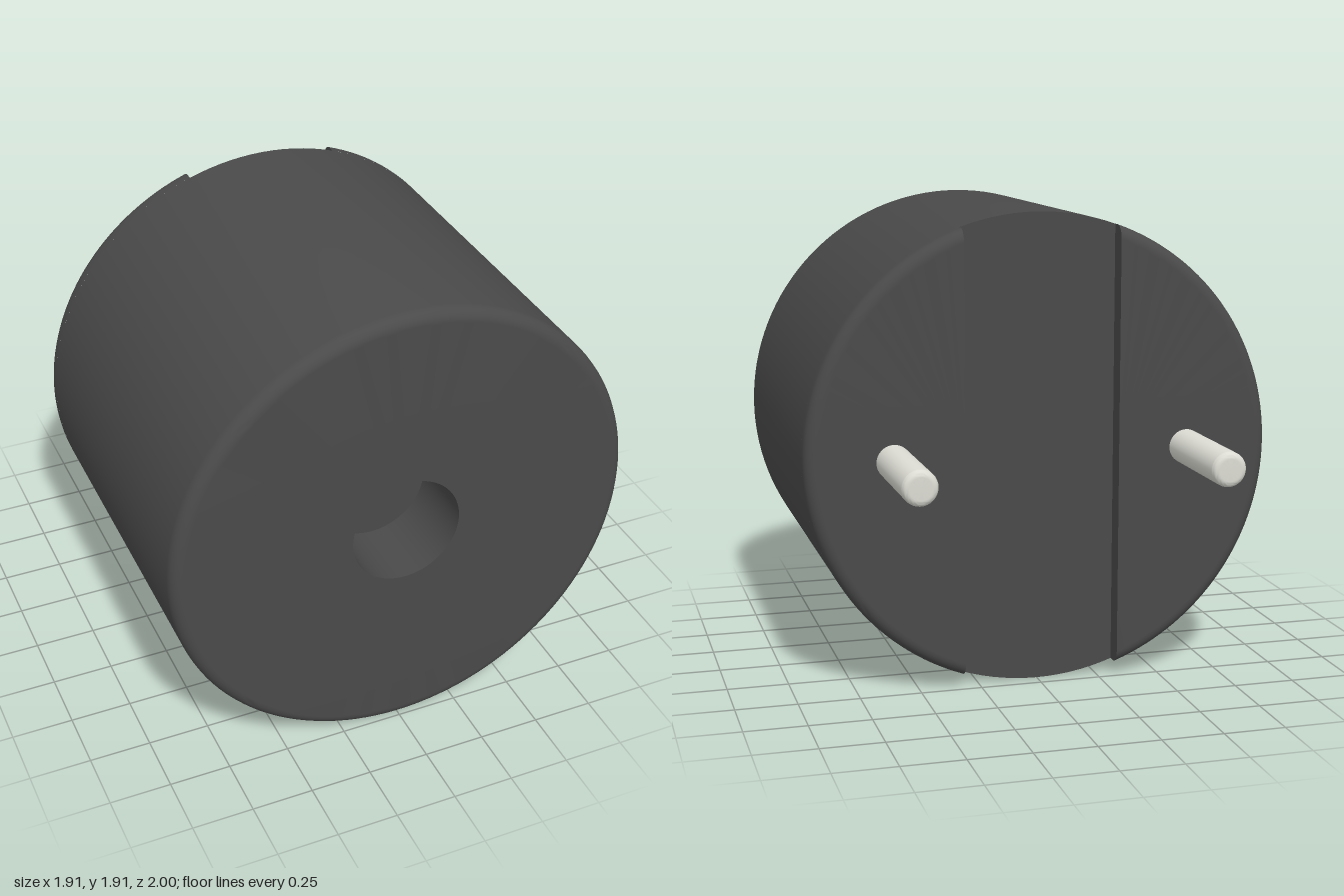
import * as THREE from 'three';
import { toCreasedNormals } from 'three/addons/utils/BufferGeometryUtils.js';
import { ParametricGeometry } from 'three/addons/geometries/ParametricGeometry.js';

const R = 0.957, FILLET = 0.05;       // case radius and edge rounding
const FRONT = 1, FLOOR = -0.435, BACK = -0.515;
const SLOT = 0.32;                    // half width of the rear slot
const HOLE_R = 0.225, HOLE_END = 0.69;

// Quarter-round from the side of a cylinder to its end; dir is the end's direction.
function roundedEdge(radius, end, f, dir, steps = 6) {
  const pts = [];
  for (let i = 0; i <= steps; i++) {
    const a = (i / steps) * Math.PI / 2;
    pts.push(new THREE.Vector2(radius - f + f * Math.cos(a), end + dir * f * (Math.sin(a) - 1)));
  }
  pts.push(new THREE.Vector2(radius - f - 0.004, end)); // keeps the flat end flat
  return pts;
}

// Revolves a (radius, z) profile around the z axis.
function revolve(points, segments) {
  const geo = new THREE.LatheGeometry(points, segments);
  geo.rotateX(Math.PI / 2);
  return toCreasedNormals(geo, 0.6);
}

function createPad(material) {
  const pad = new THREE.Group();
  const profile = [
    new THREE.Vector2(R, FLOOR),
    ...roundedEdge(R, BACK, FILLET, -1),
    new THREE.Vector2(SLOT, BACK),
  ];

  // Rounded outside and flat end, trimmed along the slot
  const n = profile.length - 1;
  const skin = new ParametricGeometry((u, v, target) => {
    const p = profile[Math.round(v * n)];
    const limit = Math.acos(Math.min(1, SLOT / p.x));
    const a = limit * (1 - 2 * u);
    target.set(p.x * Math.cos(a), p.x * Math.sin(a), p.y);
  }, 64, n);
  const shell = new THREE.Mesh(toCreasedNormals(skin, 0.6), material);
  shell.name = 'padShell';

  // Flat slot wall, outlined by the same profile
  const half = profile.slice(0, -1).map(
    (p) => new THREE.Vector2(Math.sqrt(p.x * p.x - SLOT * SLOT), p.y));
  const mirrored = half.map((p) => new THREE.Vector2(-p.x, p.y)).reverse();
  const wallGeo = new THREE.ShapeGeometry(new THREE.Shape([...half, ...mirrored]));
  wallGeo.applyMatrix4(new THREE.Matrix4().makeBasis(
    new THREE.Vector3(0, -1, 0), new THREE.Vector3(0, 0, 1), new THREE.Vector3(-1, 0, 0)));
  const wall = new THREE.Mesh(wallGeo, material);
  wall.position.x = SLOT;
  wall.name = 'slotWall';

  pad.add(shell, wall);
  return pad;
}

export function createModel() {
  const model = new THREE.Group();
  model.name = 'buzzer';
  const dark = new THREE.MeshStandardMaterial({ color: 0x4a4a4a });
  const metal = new THREE.MeshStandardMaterial({ color: 0xdcdcd4 });

  // Case with the blind sound hole in front
  const body = new THREE.Mesh(revolve([
    new THREE.Vector2(0, FLOOR),
    new THREE.Vector2(R, FLOOR),
    ...roundedEdge(R, FRONT, FILLET, 1),
    new THREE.Vector2(HOLE_R, FRONT),
    new THREE.Vector2(HOLE_R, HOLE_END),
    new THREE.Vector2(0, HOLE_END),
  ], 128), dark);
  body.name = 'case';
  model.add(body);

  // Contact pin, pointing backwards
  const pinGeo = revolve([
    new THREE.Vector2(0, 0),
    new THREE.Vector2(0.07, 0),
    ...roundedEdge(0.07, 0.5, 0.025, 1),
    new THREE.Vector2(0, 0.5),
  ], 32);
  pinGeo.rotateY(Math.PI);

  for (const side of [1, -1]) {
    const name = side > 0 ? 'left' : 'right';
    const pad = createPad(dark);
    pad.name = name + 'Pad';
    if (side < 0) pad.rotation.z = Math.PI;
    const pin = new THREE.Mesh(pinGeo, metal);
    pin.name = name + 'Pin';
    pin.position.set(side * 0.605, 0, -0.5);
    model.add(pad, pin);
  }

  for (const part of model.children) part.position.y = R;
  return model;
}
